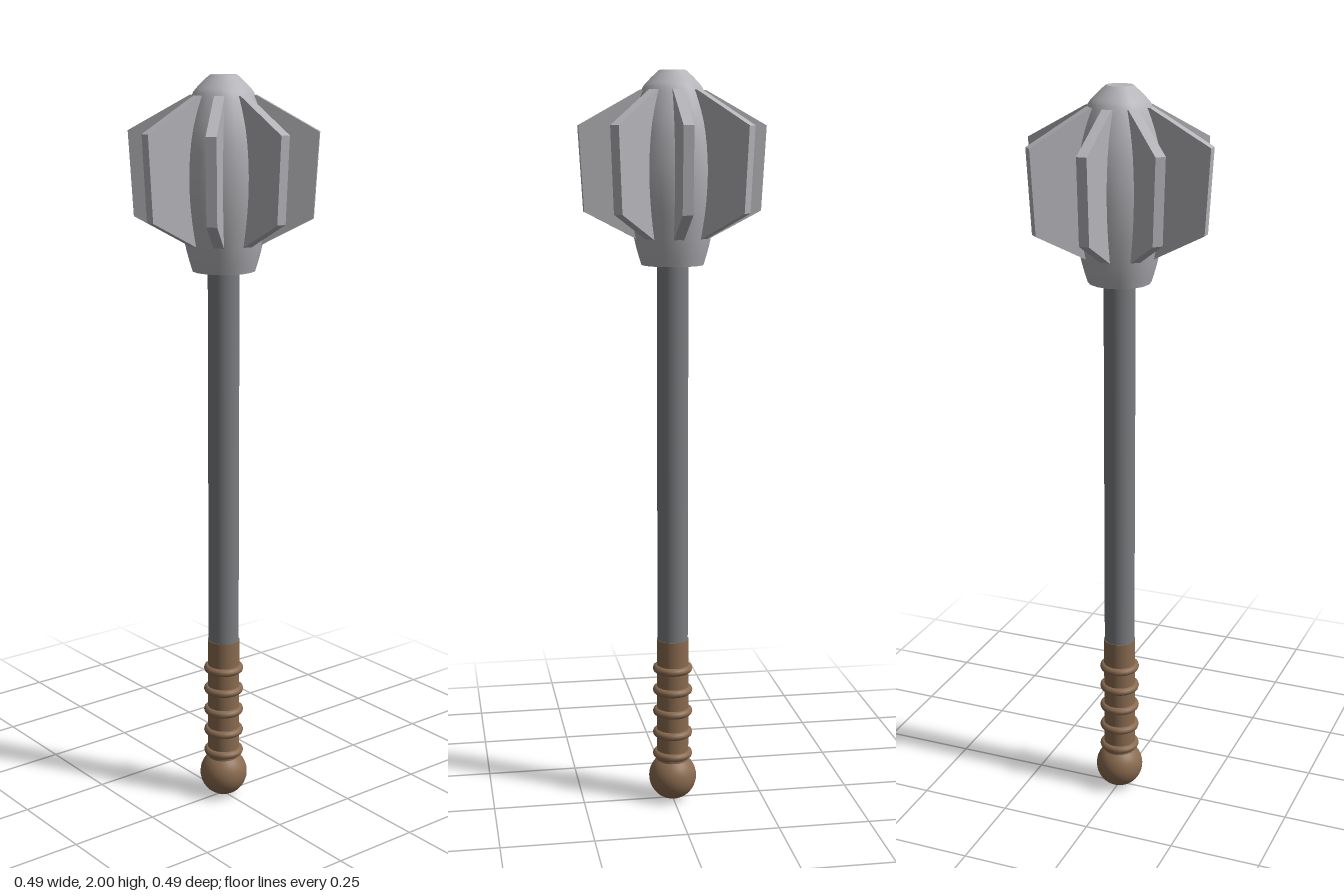
import * as THREE from 'three';

const mat = (name, color) => {
  const m = new THREE.MeshStandardMaterial({ color });
  m.name = name;
  return m;
};

export function createModel() {
  const steel = mat('steel', 0xb4b4b9);
  const iron = mat('dark iron', 0x7a7c7f);
  const leather = mat('leather', 0x8a6b50);
  const group = new THREE.Group();
  group.name = 'mace';

  const add = (name, geometry, material, y = 0, parent = group) => {
    const mesh = new THREE.Mesh(geometry, material);
    mesh.name = name;
    mesh.position.y = y;
    parent.add(mesh);
    return mesh;
  };

  // Shaft and grip
  add('shaft', new THREE.CylinderGeometry(0.042, 0.042, 1.05, 24), iron, 0.985);
  add('grip', new THREE.CylinderGeometry(0.044, 0.044, 0.39, 24), leather, 0.275);
  add('pommel', new THREE.SphereGeometry(0.066, 32, 20), leather, 0.07);

  // Raised bands around the grip
  for (let i = 0; i < 5; i++) {
    const ring = add('gripRing', new THREE.TorusGeometry(0.044, 0.011, 10, 32), leather, 0.137 + i * 0.0622);
    ring.rotation.x = Math.PI / 2;
  }

  // Head core: a smooth barrel, closed by flat discs
  const curve = new THREE.SplineCurve([
    [0.083, 1.5], [0.1, 1.56], [0.118, 1.66], [0.123, 1.76], [0.112, 1.86],
    [0.084, 1.945], [0.062, 1.975], [0.035, 2],
  ].map(([r, y]) => new THREE.Vector2(r, y)));
  add('headCore', new THREE.LatheGeometry(curve.getPoints(24), 16), steel);
  add('headTop', new THREE.CircleGeometry(0.035, 16), steel, 2).rotation.x = -Math.PI / 2;
  add('headBase', new THREE.CircleGeometry(0.083, 16), steel, 1.5).rotation.x = Math.PI / 2;

  // Eight radial flanges
  const outline = new THREE.Shape([
    [0.04, 1.565], [0.09, 1.565], [0.234, 1.64], [0.247, 1.86], [0.085, 1.95], [0.04, 1.94],
  ].map(([x, y]) => new THREE.Vector2(x, y)));
  const flange = new THREE.ExtrudeGeometry(outline, { depth: 0.027, bevelEnabled: false });
  flange.translate(0, 0, -0.0135);
  for (let i = 0; i < 8; i++) add('flange', flange, steel).rotation.y = (i * Math.PI) / 4;

  return group;
}
